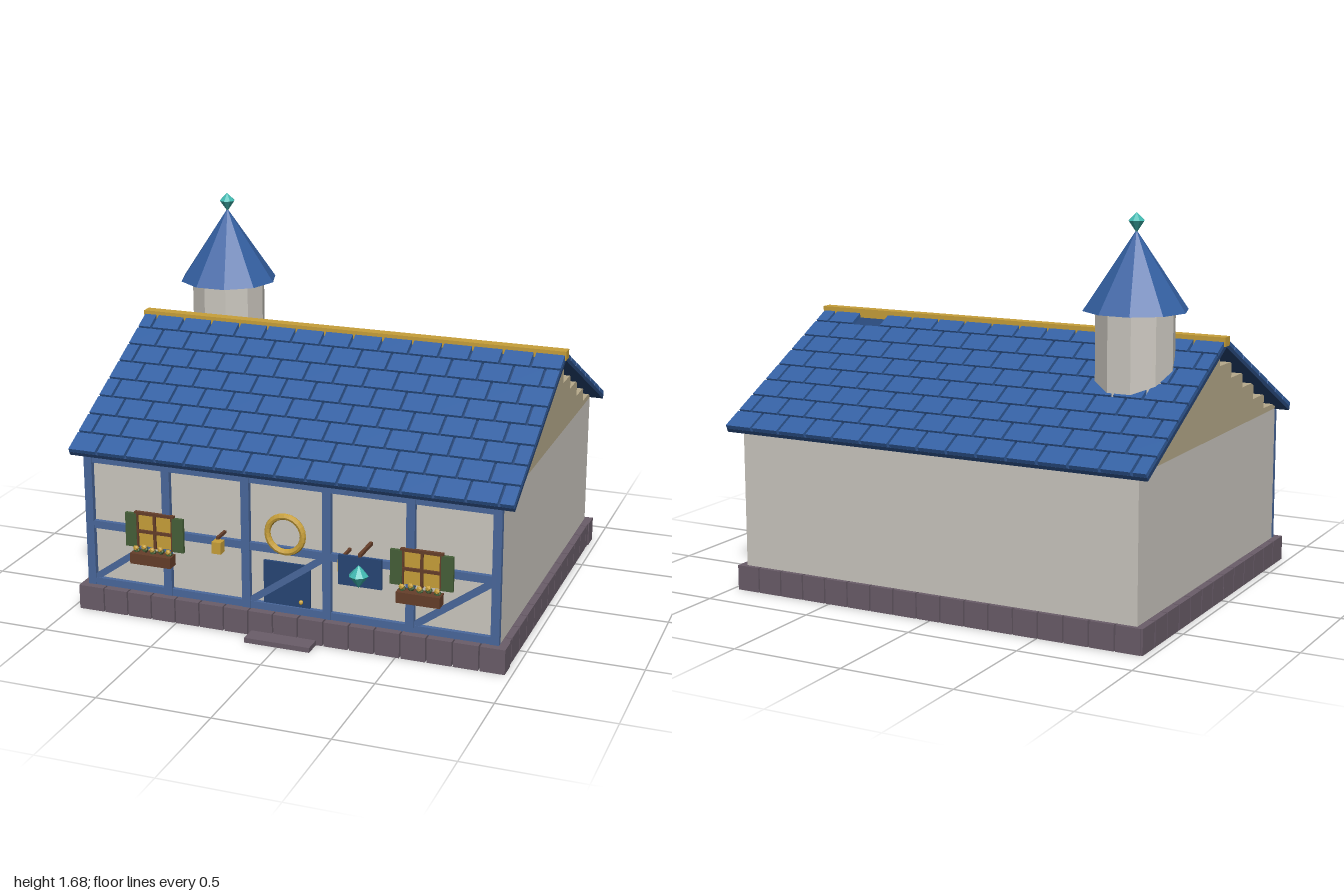
import * as THREE from 'three';

const mat = (name, color) => Object.assign(new THREE.MeshStandardMaterial({ color, flatShading: true }), { name });

export function createModel() {
  const M = {
    plaster: mat('plaster', 0xccc8c0), gable: mat('gable', 0xb8ab8c), stone: mat('stone', 0x6a5d69),
    tile: mat('roofTile', 0x3460a2), deep: mat('deepBlue', 0x274676), timber: mat('timber', 0x4a689c),
    gold: mat('gold', 0xc8a03a), wood: mat('wood', 0x663f2a), leaf: mat('green', 0x466038), gem: mat('gem', 0x40b8b0),
  };
  const house = new THREE.Group();
  house.name = 'cottage';
  const CZ = -0.06, FRONT = 0.69;

  const add = (name, geo, material, x, y, z, parent = house) => {
    const m = new THREE.Mesh(geo, material);
    m.name = name;
    m.position.set(x, y, z);
    parent.add(m);
    return m;
  };
  const box = (name, material, w, h, d, x, y, z, parent) =>
    add(name, new THREE.BoxGeometry(w, h, d), material, x, y, z, parent);
  const group = (name, parent = house) => {
    const g = new THREE.Group();
    g.name = name;
    parent.add(g);
    return g;
  };
  // Faceted crystal: short crown, longer point
  const crystal = (name, r, up, down, x, y, z) => {
    const pts = [[0, -down], [r, 0], [0, up]].map(p => new THREE.Vector2(...p));
    return add(name, new THREE.LatheGeometry(pts, 8), M.gem, x, y, z);
  };

  // Walls and stepped gable
  box('walls', M.plaster, 1.87, 0.61, 1.5, 0, 0.415, CZ);
  [[0.75, 0.745], [0.605, 0.81], [0.47, 0.885], [0.335, 0.95], [0.2, 1.02], [0.068, 1.09]]
    .reduce((y0, [half, y1]) => {
      box('gableStep', M.gable, 1.87, y1 - y0, half * 2, 0, (y0 + y1) / 2, CZ);
      return y1;
    }, 0.72);

  // Hollow ring of foundation stones
  const base = group('foundation');
  for (let i = 0; i < 17; i++)
    for (const z of [0.705, -0.79])
      box('stone', M.stone, 0.107, 0.11, 0.08, -0.96 + (i + 0.5) * 0.1138, 0.055, z, base);
  for (let i = 0; i < 13; i++)
    for (const s of [-1, 1])
      box('stone', M.stone, 0.07, 0.11, 0.115, s * 0.932, 0.055, 0.747 - (i + 0.5) * 0.1213, base);

  // Roof: each slope is a thin deck with staggered rows of tiles
  const PITCH = 0.475, LEN = 0.81 / Math.cos(PITCH), ROWS = 8, STEP = LEN / ROWS, TW = 1.99 / 14.5;
  for (const side of [1, -1]) {
    const slope = group(side > 0 ? 'frontRoof' : 'backRoof');
    slope.position.set(0, 1.155, CZ);
    slope.rotation.set(PITCH, side > 0 ? 0 : Math.PI, 0, 'YXZ');
    box('roofDeck', M.deep, 1.98, 0.018, LEN - 0.01, 0, -0.027, LEN / 2, slope);
    for (let r = 0; r < ROWS; r++) {
      for (let i = 0; i < 15; i++) {
        const start = r % 2 ? i * TW : (i - 0.5) * TW;
        const x0 = Math.max(0, start), x1 = Math.min(1.99, start + TW);
        // one tile is missing near the ridge at the back
        if (side < 0 && r === 0 && x0 < 0.31 && x1 > 0.31) continue;
        box('tile', M.tile, x1 - x0 - 0.012, 0.018, STEP - 0.011,
          (x0 + x1) / 2 - 0.995, -0.009, (r + 0.5) * STEP, slope);
      }
    }
  }
  box('ridgeBeam', M.gold, 1.99, 0.04, 0.05, 0, 1.14, CZ - 0.003);

  // Tower, with corners pointing to the sides
  const TX = -0.677, TZ = -0.288, turn = Math.PI / 10;
  add('tower', new THREE.CylinderGeometry(0.169, 0.169, 1.28, 10, 1, false, turn), M.plaster, TX, 0.64, TZ);
  add('towerRoof', new THREE.ConeGeometry(0.223, 0.33, 10, 1, false, turn), M.tile, TX, 1.445, TZ);
  crystal('finial', 0.035, 0.035, 0.05, TX, 1.648, TZ);

  // Half-timbering on the front
  const frame = group('timberFrame');
  for (let i = 0; i < 6; i++)
    box('post', M.timber, 0.037, 0.6, 0.024, -0.917 + i * 0.3668, 0.41, FRONT + 0.011, frame);
  for (const y of [0.125, 0.393, 0.695])
    box('rail', M.timber, 1.87, 0.034, 0.02, 0, y, FRONT + 0.01, frame);
  for (const x of [-0.735, 0, 0.735])
    box('brace', M.timber, 0.41, 0.028, 0.018, x, 0.26, FRONT + 0.009, frame).rotation.z = 0.62;

  // Door, knob, step and wreath ring
  box('door', M.deep, 0.21, 0.225, 0.012, 0, 0.2225, FRONT + 0.006);
  add('doorKnob', new THREE.SphereGeometry(0.01, 8, 6), M.gold, 0.068, 0.17, FRONT + 0.022);
  box('doorStep', M.stone, 0.295, 0.022, 0.14, 0, 0.011, 0.755);
  add('ring', new THREE.TorusGeometry(0.08, 0.014, 8, 24), M.gold, 0, 0.47, FRONT + 0.024);

  // Windows with shutters and flower boxes
  for (const x of [-0.603, 0.603]) {
    const win = group('window');
    win.position.set(x, 0.395, FRONT);
    box('pane', M.gold, 0.17, 0.15, 0.02, 0, 0.005, 0.014, win);
    for (const y of [0.083, 0.0]) box('windowBar', M.wood, 0.185, 0.013, 0.016, 0, y, 0.026, win);
    box('mullion', M.wood, 0.012, 0.16, 0.016, 0, 0.005, 0.025, win);
    for (const s of [-1, 1]) {
      box('windowJamb', M.wood, 0.012, 0.16, 0.016, s * 0.083, 0.005, 0.024, win);
      box('shutter', M.leaf, 0.052, 0.153, 0.016, s * 0.11, 0.003, 0.027, win);
    }
    box('flowerBox', M.wood, 0.19, 0.048, 0.055, 0, -0.109, 0.055, win);
    for (let i = 0; i < 5; i++) {
      const fx = (i - 2) * 0.038, fy = -0.07 + (i % 2) * 0.008;
      add('leaves', new THREE.IcosahedronGeometry(0.016, 0), M.leaf, fx, fy - 0.01, 0.05, win);
      add('flower', new THREE.IcosahedronGeometry(0.013, 0), M.gold, fx, fy + 0.003, 0.06, win);
    }
  }

  // Lanterns on brackets
  for (const x of [-0.283, 0.283]) {
    box('lanternBracket', M.wood, 0.012, 0.012, 0.08, x, 0.437, 0.735);
    box('lantern', M.gold, 0.042, 0.052, 0.042, x, 0.397, 0.77);
  }

  // Hanging sign with a crystal
  box('signBracket', M.wood, 0.014, 0.014, 0.145, 0.374, 0.474, 0.762);
  box('signBoard', M.deep, 0.187, 0.13, 0.012, 0.374, 0.4, 0.826);
  crystal('signCrystal', 0.042, 0.045, 0.055, 0.374, 0.392, 0.845);

  return house;
}
